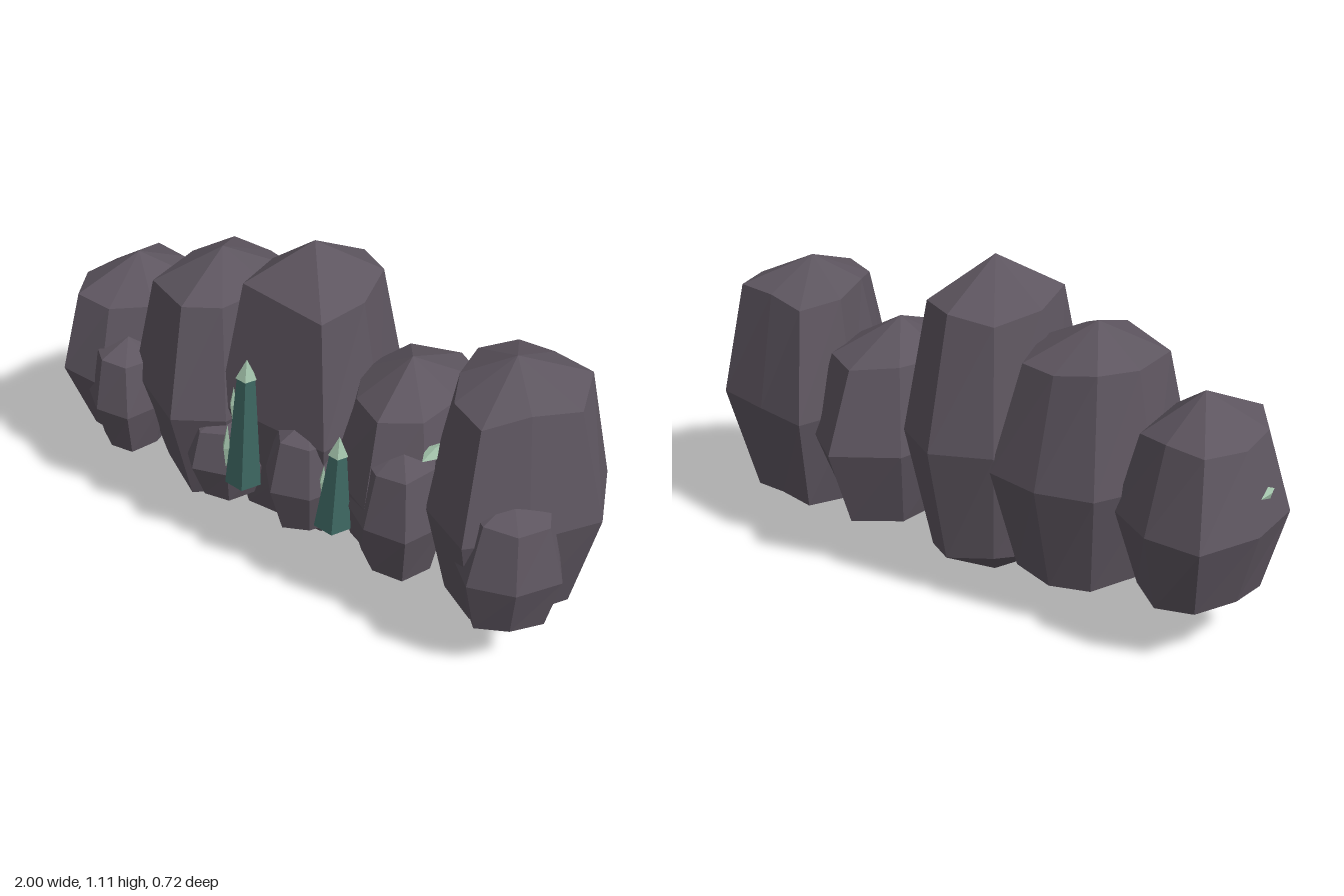
import * as THREE from 'three';

const stone = new THREE.MeshStandardMaterial({ color: 0x5d555f });
stone.name = 'stone';
const teal = new THREE.MeshStandardMaterial({ color: 0x3d6762 });
teal.name = 'darkTeal';
const mint = new THREE.MeshStandardMaterial({ color: 0xa0c0a8 });
mint.name = 'paleMint';

// Faceted boulder: top point, three rings that follow a plan outline, bottom point
function boulder(name, [cx, cy, cz], half, [lowY, highY], outline, seed) {
  const n = outline.length;
  const rings = [[-lowY, 0.72], [0, 1], [highY, 0.72]].map(([h, s], r) =>
    outline.map(([x, z], i) => {
      const k = r === 1 ? 1 : s + 0.03 * Math.sin(seed * 5.3 + i * 2.4 + r * 1.7);
      const y = r === 1 ? 0 : h + 0.03 * Math.sin(seed * 3.1 + i * 1.9 + r);
      return [cx + x * k, cy + y * half, cz + z * k];
    }));
  const top = [cx, cy + half, cz], bottom = [cx, cy - half, cz];
  const pos = [];
  for (let i = 0; i < n; i++) {
    const j = (i + 1) % n;
    pos.push(...bottom, ...rings[0][j], ...rings[0][i]);
    for (let r = 0; r < 2; r++) {
      const a = rings[r], b = rings[r + 1];
      pos.push(...a[i], ...a[j], ...b[j], ...a[i], ...b[j], ...b[i]);
    }
    pos.push(...rings[2][i], ...rings[2][j], ...top);
  }
  const geo = new THREE.BufferGeometry();
  geo.setAttribute('position', new THREE.Float32BufferAttribute(pos, 3));
  geo.computeVertexNormals();
  const mesh = new THREE.Mesh(geo, stone);
  mesh.name = name;
  return mesh;
}

// Uneven seven-sided outline for the small front stones
function roundOutline(rx, rz, seed) {
  return Array.from({ length: 7 }, (_, i) => {
    const a = (i / 7) * Math.PI * 2;
    const k = 1 + 0.06 * Math.sin(seed * 4.1 + i * 2.7);
    return [Math.cos(a) * rx * k, -Math.sin(a) * rz * k];
  });
}

// Five-sided tapered shaft with a pale point
function crystal(name, x, z, y0, y1, y2, r0, r1, lean) {
  const g = new THREE.Group();
  g.name = name;
  const shaft = new THREE.CylinderGeometry(r1, r0, y1 - y0, 5).toNonIndexed();
  shaft.translate(0, (y1 - y0) / 2, 0);
  const point = new THREE.ConeGeometry(r1 * 1.15, y2 - y1, 5).toNonIndexed();
  point.translate(0, (y1 + y2) / 2 - y0, 0);
  [[shaft, teal, 'crystalShaft'], [point, mint, 'crystalPoint']].forEach(([geo, mat, part]) => {
    geo.computeVertexNormals();
    const m = new THREE.Mesh(geo, mat);
    m.name = part;
    g.add(m);
  });
  g.position.set(x, y0, z);
  g.rotation.set(0, 0.55, -lean);
  return g;
}

// Small pale splinter poking out of the rock
function shard(x, y, z, sx, sy, sz, tilt) {
  const geo = new THREE.OctahedronGeometry(1);
  geo.scale(sx, sy, sz);
  geo.computeVertexNormals();
  const m = new THREE.Mesh(geo, mint);
  m.name = 'crystalShard';
  m.position.set(x, y, z);
  m.rotation.z = tilt;
  return m;
}

export function createModel() {
  const root = new THREE.Group();
  root.name = 'rockWall';

  // Main row: centre x, centre y, half height, ring heights, plan outline
  const large = [
    [-0.75, 0.46, 0.37, [0.7, 0.7], [[0.19, -0.18], [0.04, -0.28], [-0.14, -0.29], [-0.24, -0.1],
      [-0.25, 0.1], [-0.13, 0.27], [0.04, 0.28], [0.19, 0.14]]],
    [-0.39, 0.51, 0.46, [0.76, 0.78], [[0.25, 0], [0.22, -0.255], [0.04, -0.295], [-0.14, -0.255],
      [-0.25, -0.08], [-0.23, 0.2], [0.04, 0.345], [0.19, 0.25]]],
    [-0.03, 0.555, 0.555, [0.74, 0.75], [[0.25, 0], [0.2, -0.22], [0.04, -0.325], [-0.15, -0.25],
      [-0.26, -0.04], [-0.21, 0.23], [0.21, 0.25]]],
    [0.33, 0.46, 0.37, [0.72, 0.72], [[0.23, 0], [0.21, -0.22], [0.04, -0.355], [-0.16, -0.24],
      [-0.24, 0], [-0.15, 0.21], [0.04, 0.31], [0.2, 0.22]]],
    [0.68, 0.51, 0.46, [0.76, 0.8], [[0.32, 0], [0.22, -0.225], [0.03, -0.27], [-0.16, -0.31],
      [-0.24, -0.12], [-0.21, 0.1], [-0.13, 0.25], [0.05, 0.345], [0.19, 0.2]]],
  ];
  large.forEach(([x, y, h, ry, o], i) => root.add(boulder('largeBoulder', [x, y, 0], h, ry, o, i + 1)));

  // Front row: x, y, z, half height, x radius, z radius
  const small = [
    [-0.66, 0.4, 0.18, 0.22, 0.14, 0.16],
    [-0.24, 0.35, 0.195, 0.165, 0.14, 0.15],
    [0.075, 0.395, 0.18, 0.21, 0.145, 0.16],
    [0.42, 0.41, 0.18, 0.24, 0.16, 0.17],
    [0.8, 0.395, 0.185, 0.24, 0.17, 0.175],
  ];
  small.forEach(([x, y, z, h, rx, rz], i) =>
    root.add(boulder('smallBoulder', [x, y, z], h, [0.78, 0.78], roundOutline(rx, rz, i + 1), i + 7)));

  // Crystals in the gaps between the boulders
  root.add(crystal('tallCrystal', -0.122, 0.268, 0.325, 0.725, 0.79, 0.06, 0.03, 0.05));
  root.add(crystal('shortCrystal', 0.235, 0.28, 0.325, 0.595, 0.66, 0.06, 0.028, 0.06));

  // Splinters beside the crystals and in the rock
  root.add(shard(-0.16, 0.46, 0.3, 0.015, 0.09, 0.016, -0.08));
  root.add(shard(-0.143, 0.62, 0.28, 0.012, 0.07, 0.014, -0.08));
  root.add(shard(0.205, 0.485, 0.29, 0.012, 0.06, 0.014, -0.08));
  root.add(shard(0.505, 0.64, 0.15, 0.03, 0.022, 0.06, -0.4));
  root.add(shard(-0.965, 0.555, 0, 0.014, 0.024, 0.055, -0.26));
  return root;
}
